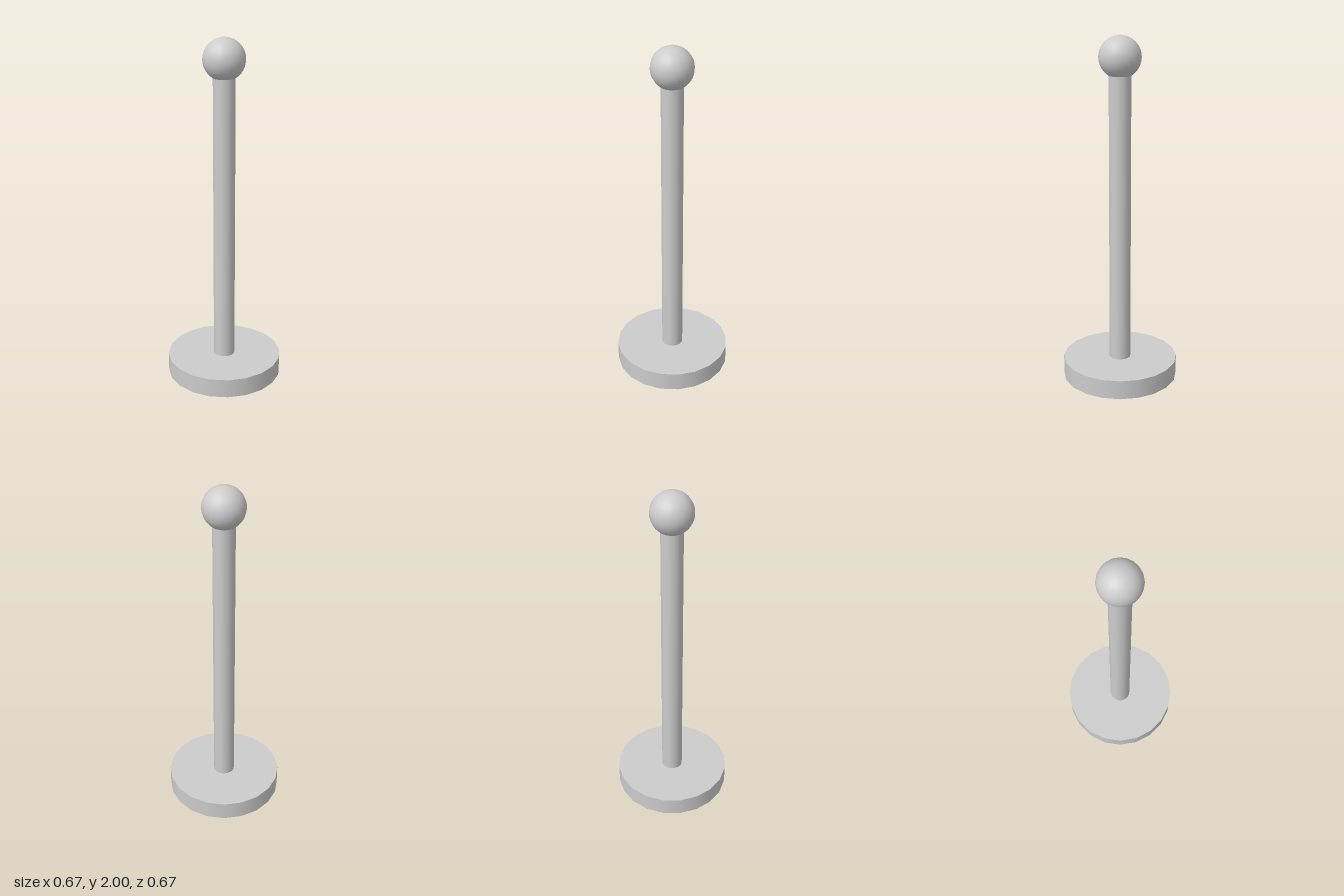
import * as THREE from 'three';

const SIDES = 20;

export function createModel() {
  const group = new THREE.Group();
  const material = new THREE.MeshStandardMaterial({ color: 0xcccccc });

  const add = (name, geometry, y) => {
    const mesh = new THREE.Mesh(geometry, material);
    mesh.name = name;
    mesh.position.y = y;
    group.add(mesh);
  };

  // Disc foot standing on the floor
  const baseHeight = 0.112;
  add('base', new THREE.CylinderGeometry(0.335, 0.335, baseHeight, SIDES), baseHeight / 2);

  // Pole from the top of the base into the ball
  const ballRadius = 0.118;
  const ballY = 2 - ballRadius;
  const poleHeight = 1.8 - baseHeight;
  add('pole', new THREE.CylinderGeometry(0.062, 0.062, poleHeight, SIDES), baseHeight + poleHeight / 2);

  // Ball finial
  add('ball', new THREE.SphereGeometry(ballRadius, SIDES, SIDES), ballY);

  return group;
}
